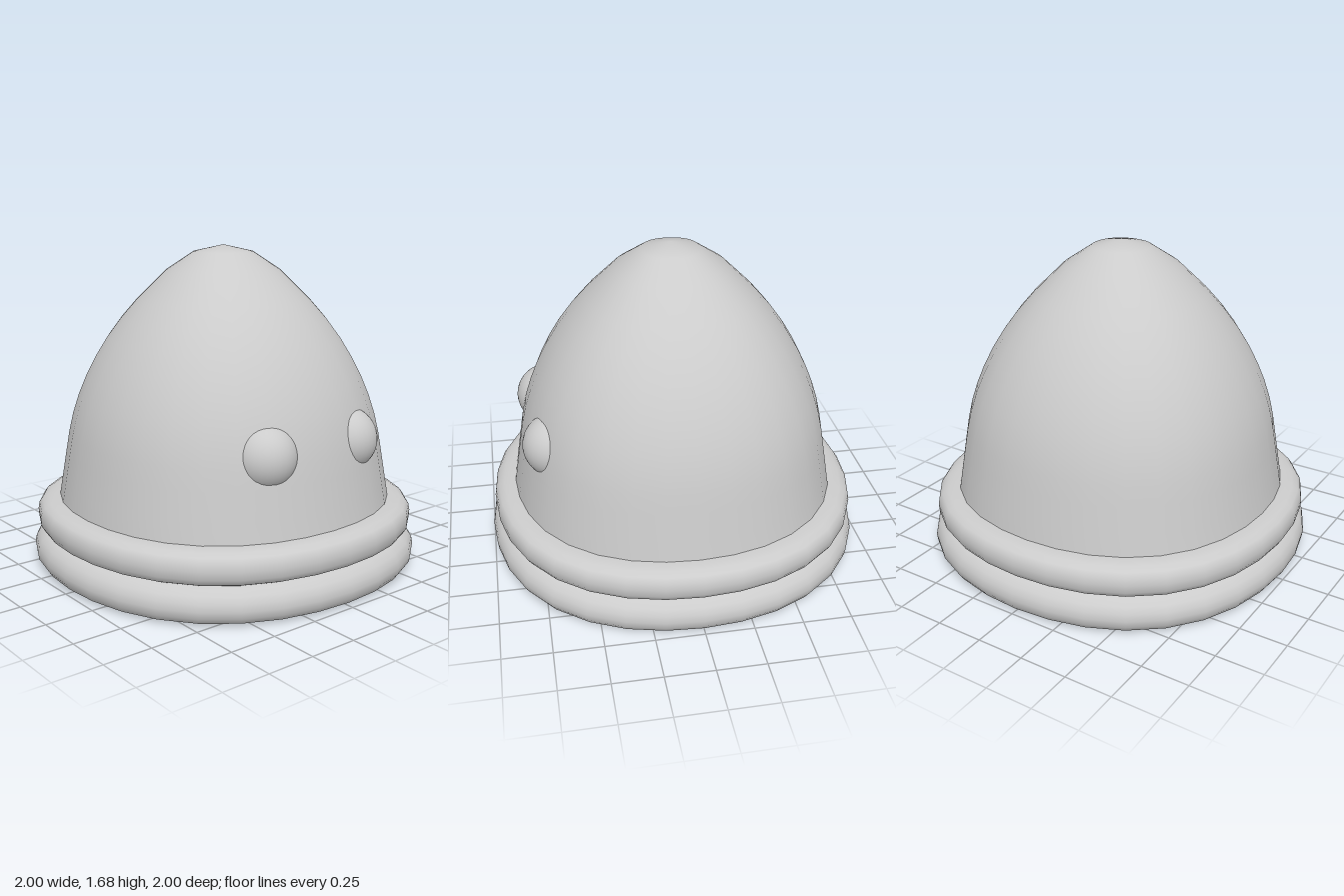
import * as THREE from 'three';
import { mergeVertices } from 'three/addons/utils/BufferGeometryUtils.js';

const SIDES = 32;
const material = new THREE.MeshStandardMaterial({ color: 0xcccccc, side: THREE.DoubleSide });

// Smooth surface of revolution, bulging slightly on the diagonals;
// profile runs as [radius, height] pairs
function lathe(name, profile) {
  const points = profile.map(([r, y]) => new THREE.Vector2(r, y));
  let geometry = new THREE.LatheGeometry(points, SIDES);
  const position = geometry.attributes.position;
  for (let i = 0; i < position.count; i++) {
    const x = position.getX(i), z = position.getZ(i);
    const bulge = 1 + 0.032 * Math.sin(2 * Math.atan2(x, z)) ** 2;
    position.setX(i, x * bulge);
    position.setZ(i, z * bulge);
  }
  // Weld the seam and the pole so the shading stays smooth
  geometry.deleteAttribute('uv');
  geometry.deleteAttribute('normal');
  geometry = mergeVertices(geometry, 1e-4);
  geometry.computeVertexNormals();
  const mesh = new THREE.Mesh(geometry, material);
  mesh.name = name;
  return mesh;
}

export function createModel() {
  const group = new THREE.Group();
  group.name = 'roundedDomeFigure';

  // Pointed dome body
  group.add(lathe('domeBody', [
    [0.865, 0.33], [0.845, 0.45], [0.82, 0.6], [0.803, 0.7], [0.78, 0.8],
    [0.748, 0.9], [0.707, 1.0], [0.657, 1.1], [0.597, 1.2], [0.525, 1.3],
    [0.44, 1.4], [0.29, 1.55], [0.15, 1.645], [0, 1.68],
  ]));

  // Two stacked rolls, the lower a little wider
  group.add(lathe('upperRoll', [
    [0.9, 0.183], [0.93, 0.187], [0.957, 0.2], [0.975, 0.23], [0.978, 0.27],
    [0.972, 0.305], [0.955, 0.33], [0.925, 0.346], [0.89, 0.353], [0.85, 0.354],
  ]));
  group.add(lathe('lowerRoll', [
    [0.9, 0.003], [0.94, 0.005], [0.975, 0.02], [0.995, 0.05], [1.0, 0.085],
    [0.993, 0.12], [0.975, 0.15], [0.945, 0.174], [0.9, 0.186],
  ]));

  // Shallow conical hollow underneath, with a blunt tip
  group.add(lathe('hollowUnderside', [
    [0, 0.43], [0.08, 0.42], [0.2, 0.375], [0.4, 0.275], [0.6, 0.16],
    [0.8, 0.043], [0.86, 0.013], [0.9, 0.003],
  ]));

  // Eyes: spheres sunk into the dome
  for (const side of [1, -1]) {
    const eye = new THREE.Mesh(new THREE.SphereGeometry(0.165, 32, 24), material);
    eye.name = side > 0 ? 'leftEye' : 'rightEye';
    eye.position.set(side * 0.272, 0.728, 0.648);
    group.add(eye);
  }
  return group;
}
